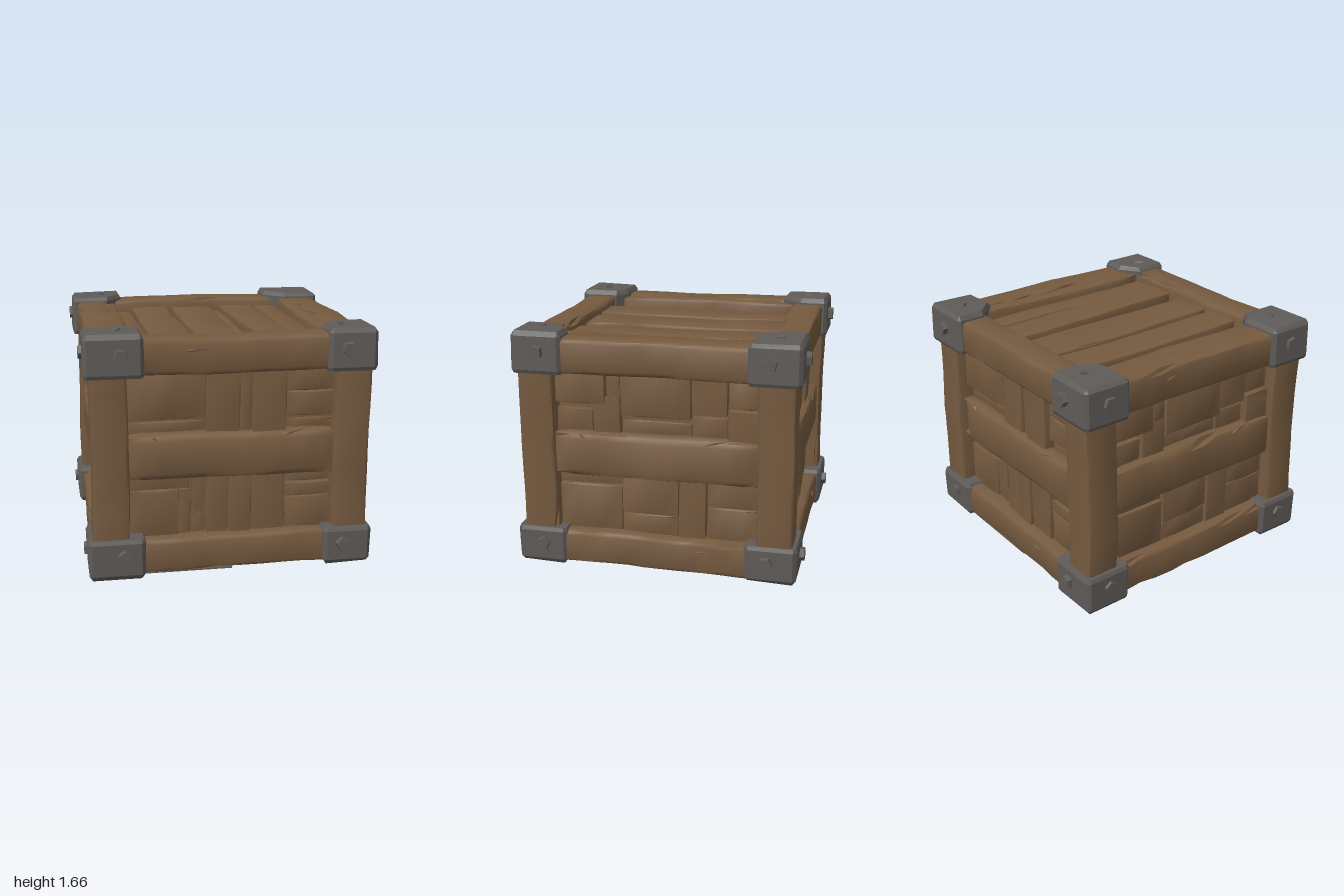
import * as THREE from 'three';
import { toCreasedNormals } from 'three/addons/utils/BufferGeometryUtils.js';
import { ConvexGeometry } from 'three/addons/geometries/ConvexGeometry.js';

const wood = new THREE.MeshStandardMaterial({ color: 0x755a3f });
wood.name = 'weathered wood';
const metal = new THREE.MeshStandardMaterial({ color: 0x5e5b58 });
metal.name = 'dark iron';
const stain = new THREE.MeshStandardMaterial({ color: 0x695b4c });
stain.name = 'iron-stained wood';

// Repeatable value in 0..1 from a position and a seed
function hash(x, y, z, seed) {
  const s = Math.sin(Math.round(x * 500) * 12.99 + Math.round(y * 500) * 78.23 + Math.round(z * 500) * 37.72 + seed * 4.13) * 4375.85;
  return s - Math.floor(s);
}

function addMesh(parent, name, geometry, material) {
  const mesh = new THREE.Mesh(geometry, material);
  mesh.name = name;
  parent.add(mesh);
  return mesh;
}

let seed = 0;

// Hewn timber between two corners: worn bevels, a slight warp, and an optional sideways lean along z
function timber(parent, name, x0, x1, y0, y1, z0, z1, bevel = 0.01, warp = 0.004, lean = 0) {
  seed++;
  const size = [x1 - x0, y1 - y0, z1 - z0];
  const mid = [(x0 + x1) / 2, (y0 + y1) / 2, (z0 + z1) / 2];
  const long = size.indexOf(Math.max(...size));
  const segs = size.map((s, i) => (i === long ? Math.max(3, Math.round(s / 0.13)) : 3));
  const geo = new THREE.BoxGeometry(...size, ...segs);
  const pos = geo.attributes.position;
  for (let i = 0; i < pos.count; i++) {
    const p = [pos.getX(i), pos.getY(i), pos.getZ(i)];
    const h = hash(p[0], p[1], p[2], seed);
    const outer = p.map((v, k) => Math.abs(v) > size[k] / 2 - 1e-4);
    const onEdge = outer.filter(Boolean).length > 1;
    const t = p[long];
    const q = p.map((v, k) => {
      const sign = Math.sign(v);
      if (!outer[k]) return k === long ? v + (h - 0.5) * 0.03 : sign * (size[k] / 2 - bevel * 1.6);
      const pull = onEdge ? bevel * (0.4 + 0.25 * h + (h > 0.93 ? 0.7 : 0)) : 0;
      return v - sign * pull;
    });
    for (let k = 0; k < 3; k++) {
      if (k === long) continue;
      q[k] += warp * (Math.sin(t * 4 + seed * 1.7 + k) + 0.4 * Math.sin(t * 11 + seed * 2.9 + k * 2));
    }
    pos.setXYZ(i, q[0] + mid[0] + lean * p[2], q[1] + mid[1], q[2] + mid[2]);
  }
  return addMesh(parent, name, toCreasedNormals(geo, 0.65), wood);
}

// Thin raised splinter lying along a timber face (local +z outward)
function splinter(parent, u, y, z, length, angle) {
  const w = 0.009;
  const pts = [[0, -w, -0.01], [0, w, -0.01], [0, 0, 0.008], [length, 0, -0.004], [length * 0.4, w * 1.3, 0.003]];
  const m = addMesh(parent, 'splinter', new ConvexGeometry(pts.map(p => new THREE.Vector3(...p))), wood);
  m.position.set(u, y, z);
  m.rotation.z = angle;
}

// Iron corners: sides, inner x and z edges, cut along x and z, front and side bolt positions
const corners = [
  { sx: -1, sz: -1, x: 0.58, z: 0.61, cx: 0.12, cz: 0.15, bx: 0.735, bz: 0.78 },
  { sx: 1, sz: -1, x: 0.535, z: 0.605, cx: 0.15, cz: 0.15, bx: 0.74, bz: 0.755 },
  { sx: -1, sz: 1, x: 0.57, z: 0.605, cx: 0.1, cz: 0.08, bx: 0.72, bz: 0.77 },
  { sx: 1, sz: 1, x: 0.615, z: 0.61, cx: 0.15, cz: 0.11, bx: 0.745, bz: 0.775 },
];

// Bevelled iron block whose inner corner is cut off wide
function bracket(parent, { sx, sz, x, z, cx, cz, bx, bz }, top) {
  const g = new THREE.Group();
  g.name = top ? 'topCornerBracket' : 'bottomCornerBracket';
  parent.add(g);
  seed++;
  const innerX = top ? x : Math.max(x, 0.58);
  const edge = 0.028;
  const outX = sx < 0 ? 0.962 : 0.95;
  // Plan outline, inset for the end face and lifted along y for the bevels
  const outline = inset => [
    [innerX + inset, z + cz], [innerX + cx, z + inset],
    [outX - edge, z + inset], [outX - inset, z + edge],
    [outX - inset, 0.96 - edge], [outX - edge, 0.96 - inset],
    [innerX + edge, 0.96 - inset], [innerX + inset, 0.96 - edge],
  ];
  const near = top ? 1.36 : 0.28;
  const far = top ? 1.645 : sx < 0 ? 0 : 0.015;
  const dir = top ? 1 : -1;
  const layers = [[near, 0.012], [near + dir * 0.025, 0], [far - dir * 0.035, 0.006], [far, 0.03]];
  const pts = layers.flatMap(([y, inset], layer) => outline(inset).map(([px, pz], k) => {
    const drop = layer === 3 ? 0.02 * hash(k, 1, 2, seed) * (k > 1 && k < 6 ? 1 : 0.3) : 0;
    return new THREE.Vector3(px * sx, y - dir * drop, pz * sz);
  }));
  addMesh(g, 'bracketBlock', new ConvexGeometry(pts), metal);

  // Bolt heads on both outer sides, and a small sunken one on top
  const bolt = (r, depth, sides, px, py, pz, axis) => {
    const geo = new THREE.CylinderGeometry(r * 0.82, r, depth, sides).toNonIndexed();
    geo.computeVertexNormals();
    geo.rotateY(seed * 0.7);
    const m = addMesh(g, 'bolt', geo, metal);
    m.position.set(px, py, pz);
    m.quaternion.setFromUnitVectors(new THREE.Vector3(0, 1, 0), axis);
  };
  const by = top ? 1.51 : 0.172;
  bolt(0.055, 0.07, 5, sx * bx, by, sz * 0.955, new THREE.Vector3(0, 0, sz));
  bolt(0.055, 0.07, 5, sx * 0.945, by, sz * bz, new THREE.Vector3(sx, 0, 0));
  if (top) bolt(0.04, 0.03, 3, sx * 0.74, 1.637, sz * 0.8, new THREE.Vector3(0.35 * sx, 1, 0.2).normalize());
}

// Panel boards: left, right, bottom, top, outer depth
const widePanel = [
  [-0.7, -0.17, 1.06, 1.37, 0.85], [-0.7, -0.17, 0.94, 1.035, 0.8],
  [-0.168, 0.06, 0.94, 1.37, 0.85], [0.062, 0.135, 0.94, 1.37, 0.835], [0.14, 0.365, 0.94, 1.37, 0.865],
  [0.375, 0.7, 1.215, 1.37, 0.83], [0.375, 0.7, 1.045, 1.21, 0.84], [0.375, 0.7, 0.94, 1.02, 0.81],
  [-0.7, -0.28, 0.575, 0.68, 0.82], [-0.7, -0.35, 0.25, 0.57, 0.83], [-0.347, -0.27, 0.25, 0.57, 0.82],
  [-0.262, -0.175, 0.42, 0.68, 0.85], [-0.262, -0.175, 0.25, 0.415, 0.82],
  [-0.17, -0.02, 0.25, 0.68, 0.845], [-0.017, 0.135, 0.25, 0.68, 0.86], [0.142, 0.365, 0.25, 0.68, 0.845],
  [0.375, 0.7, 0.585, 0.68, 0.82], [0.375, 0.7, 0.485, 0.58, 0.835], [0.375, 0.7, 0.25, 0.48, 0.83],
];
const sidePanel = [
  [-0.7, -0.35, 1.155, 1.37, 0.86], [-0.7, -0.44, 0.94, 1.115, 0.83],
  [-0.43, -0.245, 0.94, 1.2, 0.845], [-0.34, -0.245, 1.195, 1.37, 0.845],
  [-0.24, 0.23, 1.085, 1.37, 0.86], [-0.24, 0.23, 0.94, 1.05, 0.805],
  [0.235, 0.47, 1.12, 1.37, 0.845], [0.235, 0.47, 0.94, 1.1, 0.82],
  [0.475, 0.7, 1.17, 1.37, 0.83], [0.48, 0.7, 0.94, 1.165, 0.86],
  [-0.7, -0.245, 0.585, 0.68, 0.82], [-0.7, -0.245, 0.25, 0.58, 0.835],
  [-0.242, 0.145, 0.4, 0.68, 0.845], [-0.242, 0.145, 0.25, 0.397, 0.835],
  [0.15, 0.335, 0.25, 0.68, 0.85], [0.34, 0.7, 0.485, 0.68, 0.835], [0.34, 0.7, 0.25, 0.482, 0.83],
];
// Splinters per wall: position, depth, length, angle
const splinters = [
  [-0.52, 0.95, 0.89, 0.13, -0.7], [0.33, 0.93, 0.893, 0.17, 0.25],
  [0.28, 0.19, 0.925, 0.2, -0.08], [-0.3, 1.52, 0.925, 0.18, 0.05],
];
// Lid and floor boards: left, right, sunken depth, sideways lean
const slats = [
  [-0.64, -0.505, 0.03, 0.01], [-0.495, -0.235, 0, 0.015], [-0.23, -0.195, 0.035, 0.03], [-0.185, 0.11, 0.005, 0.025],
  [0.125, 0.195, 0.04, 0.02], [0.21, 0.455, 0, 0.045], [0.475, 0.635, 0.01, 0.03], [0.645, 0.72, 0.03, -0.03],
];
// Thin stained strips under the bottom rails: from x, to x, z, material
const strips = [
  [-0.6, -0.35, 0.82, metal], [-0.35, 0, 0.82, stain],
  [0.3, 0.6, -0.82, metal], [-0.1, 0.3, -0.82, stain],
];

export function createModel() {
  const crate = new THREE.Group();
  crate.name = 'crate';

  // Closed wooden core behind the boards
  const core = addMesh(crate, 'innerCore', new THREE.BoxGeometry(1.58, 1.32, 1.58), wood);
  core.position.y = 0.81;

  // Four walls, opposite ones alike
  for (let i = 0; i < 4; i++) {
    const wall = new THREE.Group();
    wall.name = ['frontWall', 'leftWall', 'backWall', 'rightWall'][i];
    wall.rotation.y = i * Math.PI / 2;
    crate.add(wall);
    for (const [a, b, c, d, z] of i % 2 ? sidePanel : widePanel)
      timber(wall, 'panelBoard', a, b, c, d, 0.74, z, 0.006, 0.002);
    timber(wall, 'middleRail', -0.72, 0.72, 0.655, 0.965, 0.76, 0.9, 0.03, 0.004);
    timber(wall, 'topRail', -0.86, 0.86, 1.365, 1.6, 0.7, 0.925, 0.02, 0.005);
    timber(wall, 'bottomRail', -0.86, 0.86, 0.03, 0.262, 0.7, 0.925, 0.02, 0.005);
    for (const s of splinters) splinter(wall, ...s);
  }

  // Corner posts
  for (const sx of [-1, 1]) for (const sz of [-1, 1]) {
    const x = sx * 0.802, z = sz * 0.802;
    timber(crate, 'cornerPost', x - 0.12, x + 0.12, 0.15, 1.5, z - 0.12, z + 0.12, 0.016, 0.005);
  }

  // Wide inner edges of the lid and floor frames, then their boards
  for (const s of [-1, 1]) {
    const x = s * 0.73;
    timber(crate, 'lidSideBeam', x - 0.1, x + 0.1, 1.4, 1.592, -0.72, 0.7, 0.018, 0.005);
    timber(crate, 'floorSideBeam', x - 0.1, x + 0.1, 0.038, 0.2, -0.72, 0.7, 0.018, 0.005);
  }
  for (const [a, b, sink, lean] of slats) {
    timber(crate, 'lidBoard', a, b, 1.42, 1.545 - sink, -0.74, 0.73, 0.008, 0.003, lean);
    timber(crate, 'floorBoard', a, b, 0.09 + sink, 0.2, -0.74, 0.73, 0.008, 0.003, lean);
  }

  // Stains the iron has left under the front and back rails
  for (const [a, b, z, material] of strips) {
    const strip = addMesh(crate, 'railStain', new THREE.BoxGeometry(b - a, 0.009, 0.17), material);
    strip.position.set((a + b) / 2, 0.024, z);
  }

  // Iron corners
  for (const corner of corners) for (const top of [true, false]) bracket(crate, corner, top);

  return crate;
}
